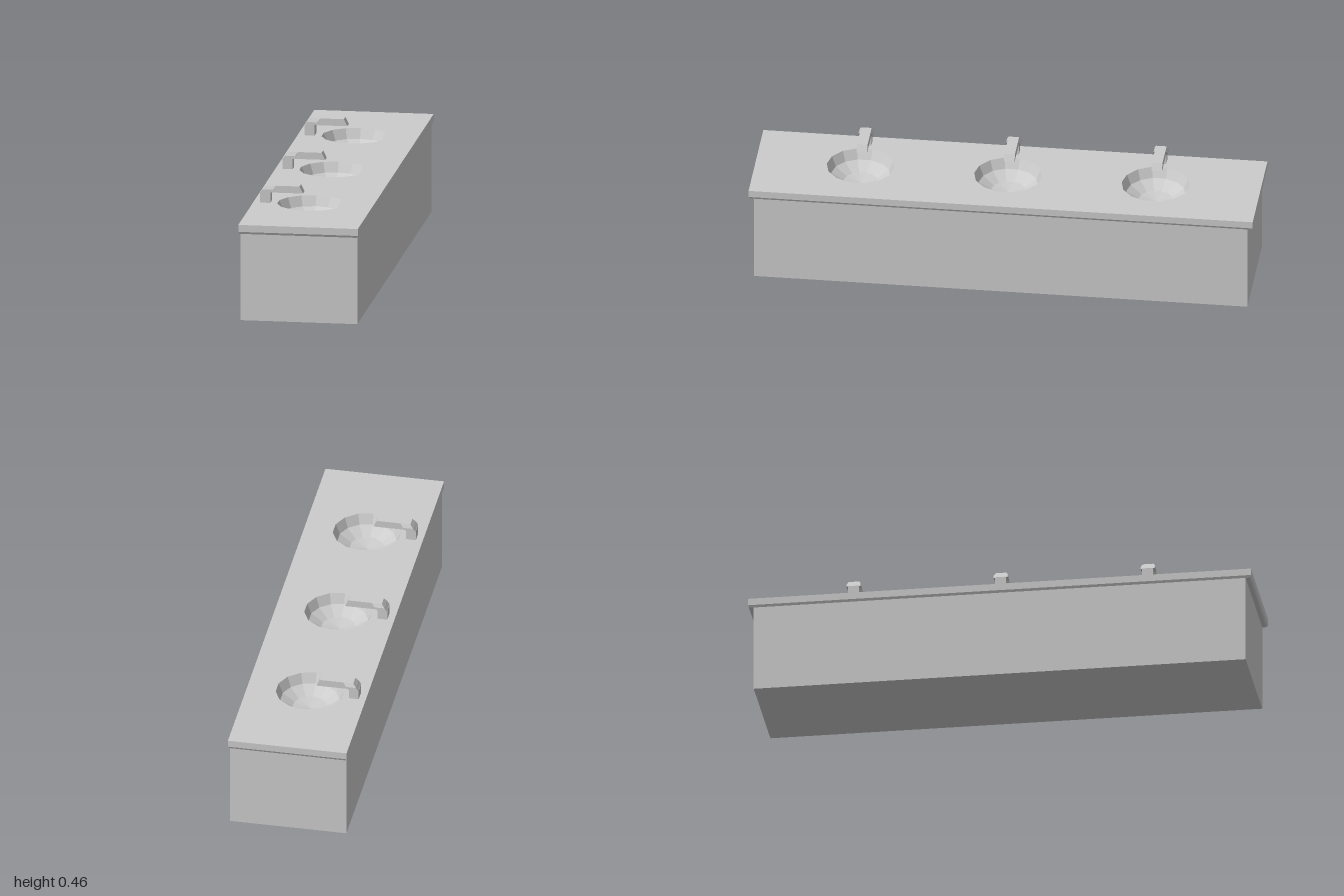
import * as THREE from 'three';
import { ConvexGeometry } from 'three/addons/geometries/ConvexGeometry.js';

const material = new THREE.MeshStandardMaterial({ color: 0xcccccc, flatShading: true });
const openMaterial = material.clone();
openMaterial.side = THREE.DoubleSide;

const TOP = 0.39;
const SINK_X = -0.01, SINK_R = 0.135, SINK_SIDES = 14;
const SINK_Z = [-0.585, 0, 0.585];

function addMesh(parent, name, geometry, mat = material) {
  const mesh = new THREE.Mesh(geometry, mat);
  mesh.name = name;
  parent.add(mesh);
  return mesh;
}

// Rectangular rings [half width, y, half length] joined from the bottom up
function rectangularShell(rings, closeBottom) {
  const positions = [], index = [];
  for (const [x, y, z] of rings) positions.push(-x, y, z, x, y, z, x, y, -z, -x, y, -z);
  for (let r = 0; r < rings.length - 1; r++) {
    for (let i = 0; i < 4; i++) {
      const a = r * 4 + i, b = r * 4 + (i + 1) % 4;
      index.push(a, b, b + 4, a, b + 4, a + 4);
    }
  }
  if (closeBottom) index.push(0, 2, 1, 0, 3, 2);
  const indexed = new THREE.BufferGeometry();
  indexed.setAttribute('position', new THREE.Float32BufferAttribute(positions, 3));
  indexed.setIndex(index);
  const geometry = indexed.toNonIndexed();
  geometry.computeVertexNormals();
  return geometry;
}

// Flat counter surface with a faceted opening for each basin
function counterSurface() {
  const x = 0.238, z = 1;
  const shape = new THREE.Shape([[-x, -z], [x, -z], [x, z], [-x, z]].map(p => new THREE.Vector2(...p)));
  for (const sinkZ of SINK_Z) {
    const points = [];
    for (let i = 0; i < SINK_SIDES; i++) {
      const a = i / SINK_SIDES * Math.PI * 2;
      points.push(new THREE.Vector2(SINK_X + SINK_R * Math.sin(a), -sinkZ - SINK_R * Math.cos(a)));
    }
    shape.holes.push(new THREE.Path(points));
  }
  return new THREE.ShapeGeometry(shape).rotateX(-Math.PI / 2).translate(0, TOP, 0);
}

function createBasin() {
  const depth = 0.08;
  const profile = [0, 30, 60, 90].map(deg => {
    const a = THREE.MathUtils.degToRad(deg);
    return new THREE.Vector2(SINK_R * Math.sin(a), -depth * Math.cos(a));
  });
  return new THREE.LatheGeometry(profile, SINK_SIDES);
}

function createFaucet() {
  const faucet = new THREE.Group();
  faucet.name = 'faucet';

  // Square stem
  addMesh(faucet, 'faucetStem', new THREE.BoxGeometry(0.04, 0.042, 0.044).translate(-0.19, TOP + 0.021, 0));

  // Wider bevelled elbow, mirrored across z
  const elbow = [
    [-0.21, 0.43, 0.028], [-0.17, 0.432, 0.028],
    [-0.2, 0.445, 0.028], [-0.16, 0.445, 0.028],
    [-0.188, 0.46, 0.021], [-0.148, 0.46, 0.021],
  ].flatMap(([x, y, z]) => [new THREE.Vector3(x, y, z), new THREE.Vector3(x, y, -z)]);
  addMesh(faucet, 'faucetElbow', new ConvexGeometry(elbow));

  // Spout with a slanted tip
  const side = new THREE.Shape([
    [-0.17, 0.432], [-0.04, 0.432], [-0.054, 0.46], [-0.15, 0.46],
  ].map(p => new THREE.Vector2(...p)));
  const spout = new THREE.ExtrudeGeometry(side, { depth: 0.042, bevelEnabled: false });
  addMesh(faucet, 'faucetSpout', spout.translate(0, 0, -0.021));
  return faucet;
}

export function createModel() {
  const model = new THREE.Group();
  model.name = 'sinkCounter';

  // Cabinet, open at the top so the basins can hang inside
  addMesh(model, 'cabinet', rectangularShell([[0.233, 0, 0.978], [0.233, 0.353, 0.978]], true));

  // Overhanging counter rim with a chamfered lower edge
  addMesh(model, 'counterRim', rectangularShell([
    [0.233, 0.353, 0.978], [0.233, 0.353, 0.995], [0.238, 0.362, 1], [0.238, TOP, 1],
  ], false));
  addMesh(model, 'counterTop', counterSurface());

  // Three stations, each with a basin and a faucet
  for (const z of SINK_Z) {
    const station = new THREE.Group();
    station.name = 'sink';
    station.position.z = z;
    addMesh(station, 'basin', createBasin(), openMaterial).position.set(SINK_X, TOP, 0);
    station.add(createFaucet());
    model.add(station);
  }
  return model;
}
